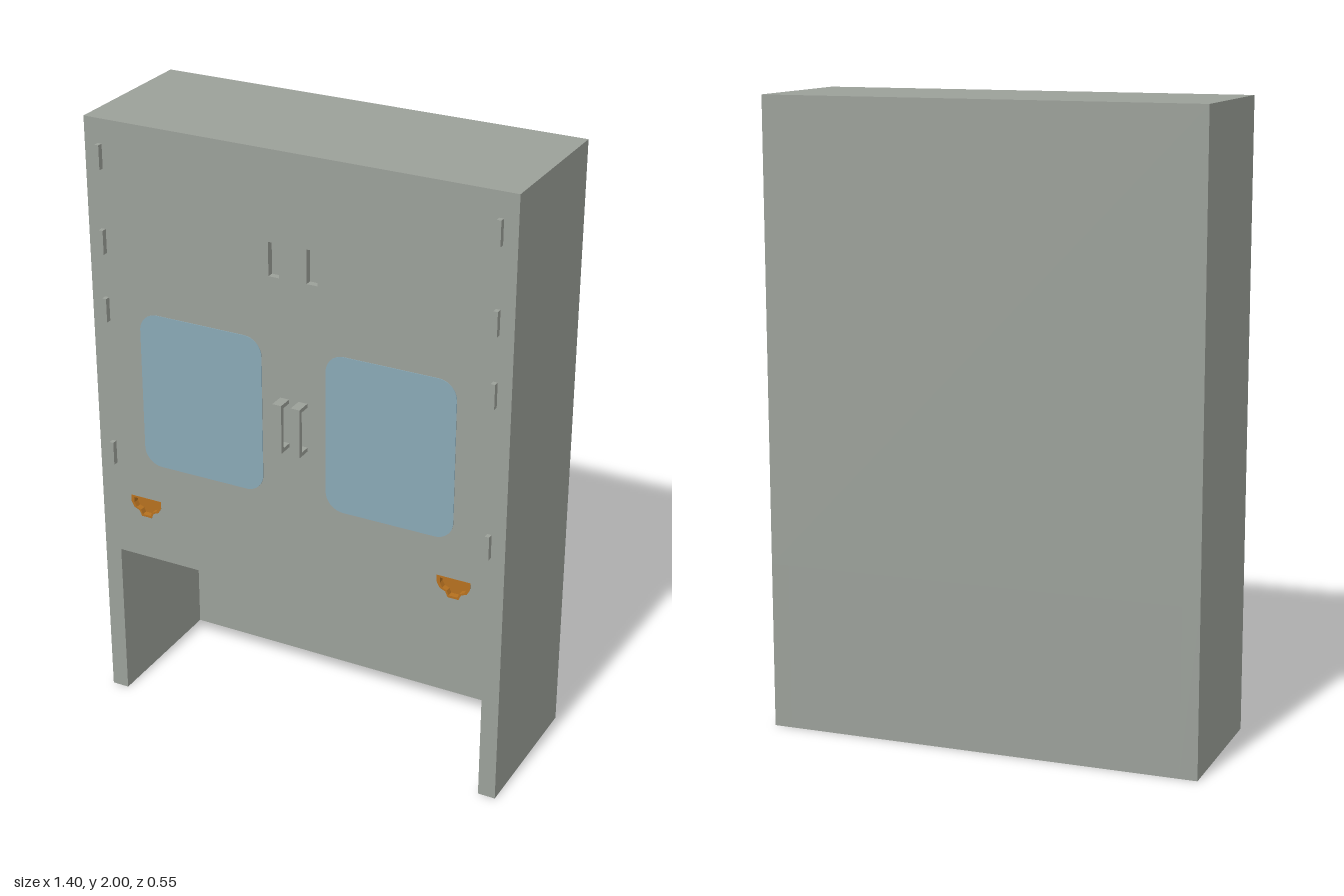
import * as THREE from 'three';

export function createModel() {
  const root = new THREE.Group();
  root.name = 'cabinet';
  const mat = (name, color) => {
    const m = new THREE.MeshStandardMaterial({ color });
    m.name = name;
    return m;
  };
  const metal = mat('grey metal', 0x9ba099);
  const glass = mat('blue glass', 0x89a8b5);
  const brass = mat('brass', 0xb5701f);

  const add = (name, geometry, material, parent = root) => {
    const mesh = new THREE.Mesh(geometry, material);
    mesh.name = name;
    parent.add(mesh);
    return mesh;
  };
  // Box given by its lower and upper limits
  const box = (name, x0, x1, y0, y1, z0, z1, material = metal, parent = root) =>
    add(name, new THREE.BoxGeometry(x1 - x0, y1 - y0, z1 - z0), material, parent)
      .position.set((x0 + x1) / 2, (y0 + y1) / 2, (z0 + z1) / 2);
  const outline = (points, Kind = THREE.Shape) => new Kind(points.map(([x, y]) => new THREE.Vector2(x, y)));
  const extrude = (shape, depth) => new THREE.ExtrudeGeometry(shape, { depth, bevelEnabled: false, curveSegments: 8 });

  const W = 0.7, BACK = -0.273, FRONT = 0.223, FLOOR = 0.535, INNER = 0.643;
  const POCKET = 0.022; // depth of the recessed grips

  // Outer and inner outlines of the half-round cup pull
  const cup = (cx, s) => [
    [-0.055, 0.75], [-0.055, 0.727], [-0.045, 0.708], [-0.026, 0.7], [-0.018, 0.682],
    [0.018, 0.682], [0.026, 0.7], [0.045, 0.708], [0.055, 0.727], [0.055, 0.75],
  ].map(([x, y]) => [cx + x * s, 0.718 + (y - 0.718) * s]);
  const slot = (cx) => [[cx - 0.018, 1.607], [cx + 0.018, 1.607], [cx + 0.018, 1.715], [cx - 0.018, 1.715]];

  // Carcass: upper block, back sheet and two side legs
  box('upperBody', -W, W, FLOOR, 2, BACK, FRONT - POCKET);
  box('backSheet', -INNER, INNER, 0, FLOOR, BACK, BACK + 0.02);
  for (const s of [-1, 1]) {
    box('sideLeg', s < 0 ? -W : INNER, s < 0 ? -INNER : W, 0, FLOOR, BACK, FRONT);
  }

  // Front sheet pierced for the finger slots and cup pulls
  const front = outline([[-W, FLOOR], [W, FLOOR], [W, 2], [-W, 2]]);
  for (const s of [-1, 1]) {
    front.holes.push(outline(slot(s * 0.063), THREE.Path), outline(cup(s * 0.538, 1), THREE.Path));
  }
  add('frontSheet', extrude(front, POCKET), metal).position.z = FRONT - POCKET;

  // Rounded window centred on cx
  const windowShape = (cx) => {
    const x0 = cx - 0.212, x1 = cx + 0.212, y0 = 0.88, y1 = 1.4, r = 0.06;
    const w = new THREE.Shape();
    w.absarc(x1 - r, y0 + r, r, -Math.PI / 2, 0);
    w.absarc(x1 - r, y1 - r, r, 0, Math.PI / 2);
    w.absarc(x0 + r, y1 - r, r, Math.PI / 2, Math.PI);
    w.absarc(x0 + r, y0 + r, r, Math.PI, Math.PI * 1.5);
    w.closePath();
    return w;
  };

  for (const s of [-1, 1]) {
    add('window', extrude(windowShape(s * 0.32), 0.002), glass).position.z = FRONT;

    // Recessed cup pull: flush rim and sunken floor
    const pull = new THREE.Group();
    pull.name = 'cupPull';
    root.add(pull);
    const rim = outline(cup(s * 0.538, 1));
    rim.holes.push(outline(cup(s * 0.538, 0.8), THREE.Path));
    add('cupRim', extrude(rim, POCKET), brass, pull).position.z = FRONT - POCKET + 0.001;
    add('cupFloor', extrude(outline(cup(s * 0.538, 0.9)), 0.004), brass, pull).position.z = FRONT - POCKET;

    // Bracket door handle
    const handle = new THREE.Group();
    handle.name = 'doorHandle';
    root.add(handle);
    const x0 = s * 0.031 - 0.015, x1 = s * 0.031 + 0.015;
    box('grip', x0, x1, 1.06, 1.22, 0.259, 0.273, metal, handle);
    box('lowerFoot', x0, x1, 1.06, 1.073, FRONT, 0.259, metal, handle);
    box('upperFoot', x0, x1, 1.207, 1.22, FRONT, 0.259, metal, handle);

    // Hinges along the outer edge
    for (const y of [1.883, 1.612, 1.388, 0.893]) {
      box('hinge', s * 0.648 - 0.007, s * 0.648 + 0.007, y - 0.039, y + 0.039, FRONT, 0.241);
    }
  }
  return root;
}
